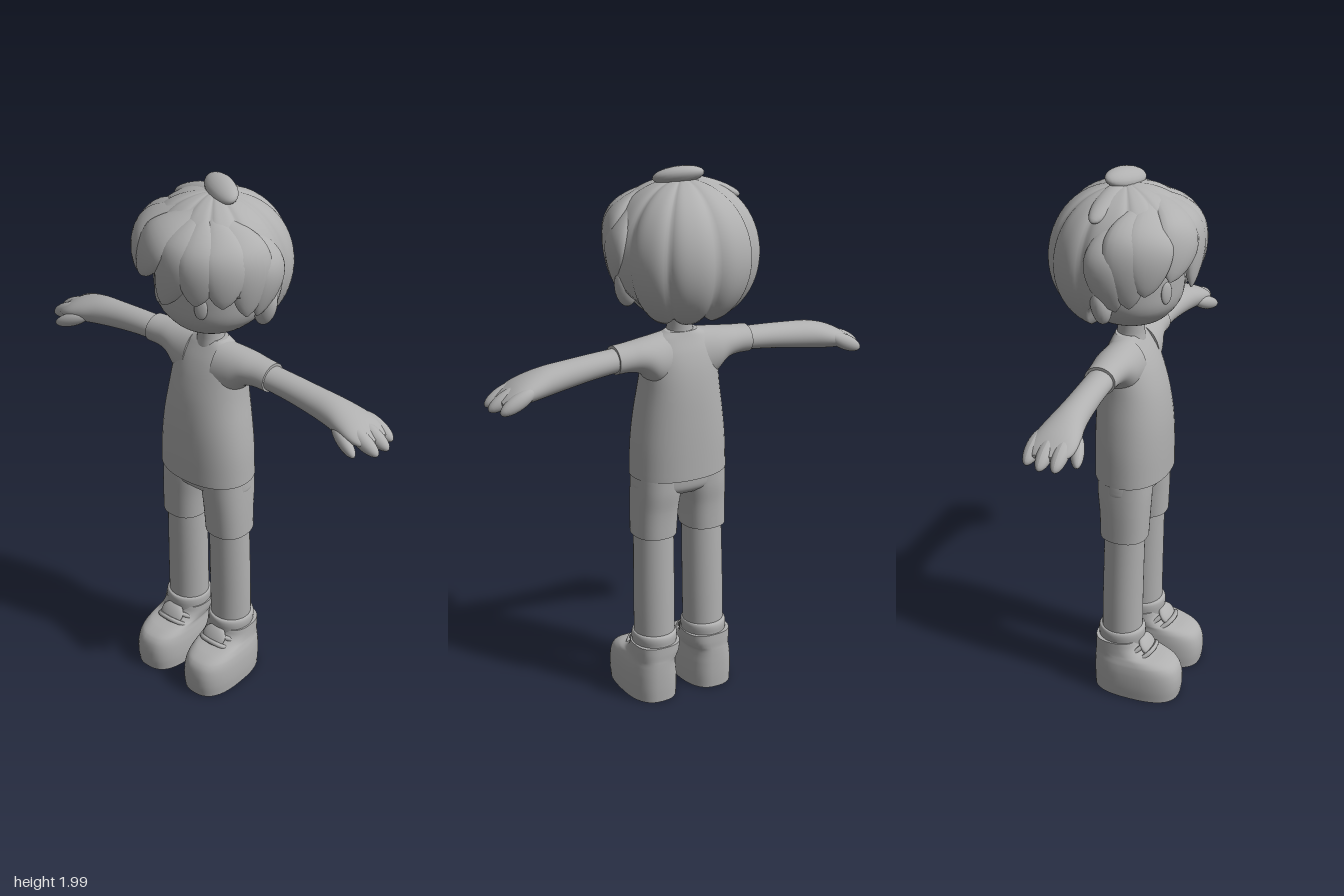
import * as THREE from 'three';
import { mergeVertices } from 'three/addons/utils/BufferGeometryUtils.js';

const clay = new THREE.MeshStandardMaterial({ color: 0xb0b0b0 });
clay.name = 'clay grey';
const { degToRad, lerp, smoothstep } = THREE.MathUtils;
const spow = (v, e) => Math.sign(v) * Math.pow(Math.abs(v), e);

// Skin a list of rings (arrays of Vector3), with flat end caps
function skin(rings, flip = false) {
  const n = rings[0].length, pos = [], idx = [];
  const tri = (a, b, c) => (flip ? idx.push(a, c, b) : idx.push(a, b, c));
  rings.forEach((r) => r.forEach((p) => pos.push(p.x, p.y, p.z)));
  for (let i = 0; i < rings.length - 1; i++)
    for (let j = 0; j < n; j++) {
      const k = (j + 1) % n, a = i * n + j, b = a + n, c = (i + 1) * n + k, d = i * n + k;
      tri(a, b, c);
      tri(a, c, d);
    }
  [rings[0], rings[rings.length - 1]].forEach((r, end) => {
    const base = pos.length / 3;
    const mid = r.reduce((s, p) => s.add(p), new THREE.Vector3()).divideScalar(n);
    [...r, mid].forEach((p) => pos.push(p.x, p.y, p.z));
    for (let j = 0; j < n; j++) {
      const k = base + ((j + 1) % n);
      end ? tri(base + n, k, base + j) : tri(base + n, base + j, k);
    }
  });
  const g = new THREE.BufferGeometry();
  g.setAttribute('position', new THREE.Float32BufferAttribute(pos, 3));
  g.setIndex(idx);
  g.computeVertexNormals();
  return g;
}

// Loft through sections [position, min1, max1, min2, max2] along the y or x axis
function loft(axis, sections, power = 2, steps = 5) {
  const seg = 40, rings = [], last = sections.length - 1;
  const at = (i, k) => sections[Math.min(last, Math.max(0, i))][k];
  for (let s = 0; s <= last * steps; s++) {
    const i = Math.min(last - 1, Math.floor(s / steps)), t = s / steps - i;
    const [p, a0, a1, b0, b1] = [0, 1, 2, 3, 4].map((k) => {
      if (k === 0) return lerp(at(i, 0), at(i + 1, 0), t);
      const v0 = at(i, k), v1 = at(i + 1, k);
      const slope = (q) => {
        const span = at(q + 1, 0) - at(q - 1, 0);
        return ((at(q + 1, k) - at(q - 1, k)) / span) * (at(i + 1, 0) - at(i, 0));
      };
      const t2 = t * t, t3 = t2 * t;
      return (2 * t3 - 3 * t2 + 1) * v0 + (t3 - 2 * t2 + t) * slope(i)
        + (3 * t2 - 2 * t3) * v1 + (t3 - t2) * slope(i + 1);
    });
    rings.push(Array.from({ length: seg }, (_, j) => {
      const th = (j / seg) * Math.PI * 2;
      const u = (a0 + a1) / 2 + ((a1 - a0) / 2) * spow(Math.cos(th), 2 / power);
      const v = (b0 + b1) / 2 + ((b1 - b0) / 2) * spow(Math.sin(th), 2 / power);
      return axis === 'y' ? new THREE.Vector3(u, p, v) : new THREE.Vector3(p, u, v);
    }));
  }
  return skin(rings, axis === 'x');
}

function mirrored(geo) {
  const g = geo.clone().scale(-1, 1, 1), a = g.index.array;
  for (let i = 0; i < a.length; i += 3) [a[i + 1], a[i + 2]] = [a[i + 2], a[i + 1]];
  g.computeVertexNormals();
  return g;
}

// Ellipsoid with its long axis running from one point to another
function blob(from, to, ra, rb = ra) {
  const a = new THREE.Vector3(...from), b = new THREE.Vector3(...to), d = b.clone().sub(a);
  const g = new THREE.SphereGeometry(1, 20, 14).scale(ra, d.length() / 2, rb);
  g.applyQuaternion(new THREE.Quaternion().setFromUnitVectors(new THREE.Vector3(0, 1, 0), d.normalize()));
  return g.translate(...a.add(b).multiplyScalar(0.5).toArray());
}

// Point on the hair volume: azimuth from the front, polar angle from the crown
const hairMid = new THREE.Vector3(0, 1.69, 0);
function hairPoint(az, polar, scale = 1) {
  const a = degToRad(az), p = degToRad(polar), r = 0.257 * Math.pow(Math.sin(p), 0.9) * scale;
  return new THREE.Vector3(spow(Math.sin(a), 0.9) * r, 1.69 + 0.255 * Math.cos(p) * scale, spow(Math.cos(a), 0.9) * r);
}

function hairCap() {
  const seg = 144, rows = 26, rings = [];
  for (let i = 1; i <= rows + 1; i++)
    rings.push(Array.from({ length: seg }, (_, j) => {
      const az = 180 - (j / seg) * 360, off = Math.abs(az);
      const wave = Math.abs(Math.sin(degToRad(az * 5 + 20 * Math.sin(degToRad(az)))));
      const edge = off < 85 ? 68 + (35 * off) / 85 : 103 + 45 * smoothstep(off, 85, 118);
      const polar = (edge - 5 * (1 - wave)) * Math.min(1, i / rows);
      const crease = 0.055 * Math.pow(1 - wave, 2) * Math.sin(degToRad(Math.min(90, polar)));
      const p = hairPoint(az, polar, 1 - crease);
      if (i > rows) p.set(p.x * 0.75, p.y + 0.005, p.z * 0.75);
      return p;
    }));
  return skin(rings.reverse());
}

// Puffy lock lying on the hair volume, through [azimuth, polar] points
function lock(points, width, thick) {
  const curve = new THREE.CatmullRomCurve3(points.map(([a, p]) => hairPoint(a, p, 0.975)));
  const rings = [];
  for (let i = 0; i <= 20; i++) {
    const t = 0.004 + 0.992 * (i / 20), c = curve.getPoint(t), T = curve.getTangent(t);
    const N = c.clone().sub(hairMid).normalize();
    const S = T.clone().cross(N).normalize();
    const k = Math.pow(Math.sin(Math.PI * Math.pow(t, 1.25)), 0.65);
    rings.push(Array.from({ length: 18 }, (_, j) => {
      const th = (j / 18) * Math.PI * 2;
      return c.clone().addScaledVector(S, Math.cos(th) * width * k).addScaledVector(N, Math.sin(th) * thick * k);
    }));
  }
  return skin(rings);
}

export function createModel() {
  const model = new THREE.Group();
  model.name = 'boy';
  const add = (name, geo) => {
    const m = new THREE.Mesh(geo, clay);
    m.name = name;
    model.add(m);
  };
  const pair = (name, geo) => {
    add(name + 'Left', geo);
    add(name + 'Right', mirrored(geo));
  };

  // Head, neck and face
  add('head', loft('y', [[1.462, -0.05, 0.05, -0.03, 0.07], [1.475, -0.1, 0.1, -0.08, 0.12],
    [1.5, -0.145, 0.145, -0.12, 0.155], [1.55, -0.19, 0.19, -0.17, 0.19], [1.62, -0.208, 0.208, -0.2, 0.2],
    [1.7, -0.208, 0.208, -0.2, 0.2], [1.8, -0.18, 0.18, -0.18, 0.18], [1.88, -0.1, 0.1, -0.1, 0.1]]));
  add('neck', loft('y', [[1.38, -0.055, 0.055, -0.035, 0.07], [1.42, -0.045, 0.045, -0.03, 0.066],
    [1.5, -0.045, 0.045, -0.03, 0.066]]));
  pair('eye', new THREE.SphereGeometry(1, 24, 12).scale(0.023, 0.04, 0.009).rotateY(0.46).translate(0.093, 1.615, 0.18));
  pair('ear', blob([0.205, 1.525, 0.005], [0.23, 1.665, -0.01], 0.04, 0.034));

  // Hair
  add('hair', mergeVertices(hairCap()));
  add('fringeCentre', lock([[12, 22], [8, 60], [-4, 107]], 0.075, 0.034));
  add('fringeSweep', lock([[30, 15], [-14, 55], [-34, 92]], 0.085, 0.036));
  add('fringeRight', lock([[-20, 22], [-50, 60], [-56, 101]], 0.085, 0.034));
  add('fringeLeft', lock([[20, 22], [26, 60], [24, 99]], 0.075, 0.034));
  add('fringeOuterLeft', lock([[36, 24], [48, 60], [46, 100]], 0.08, 0.034));
  for (const s of [-1, 1]) {
    const side = s > 0 ? 'Left' : 'Right';
    add('temple' + side, lock([[s * 48, 26], [s * 70, 62], [s * 68, 112]], 0.08, 0.034));
    add('sideburn' + side, lock([[s * 84, 40], [s * 88, 75], [s * 79, 116]], 0.065, 0.03));
  }
  add('tuft', blob([-0.06, 1.965, -0.045], [0.1, 1.945, 0.025], 0.03, 0.046));
  add('crownLock', blob([-0.2, 1.87, -0.04], [0.0, 1.945, -0.01], 0.025, 0.04));

  // Shirt
  add('shirt', loft('y', [[0.88, -0.181, 0.181, -0.097, 0.166], [1.0, -0.176, 0.176, -0.097, 0.166],
    [1.1, -0.165, 0.165, -0.095, 0.161], [1.2, -0.15, 0.15, -0.09, 0.146], [1.28, -0.142, 0.142, -0.08, 0.123],
    [1.34, -0.135, 0.135, -0.064, 0.097], [1.39, -0.1, 0.1, -0.042, 0.067], [1.412, -0.06, 0.06, -0.033, 0.052]], 2.2));
  pair('sleeve', loft('x', [[0.06, 1.2, 1.408, -0.06, 0.1], [0.12, 1.23, 1.402, -0.064, 0.09],
    [0.165, 1.275, 1.397, -0.057, 0.077], [0.21, 1.288, 1.392, -0.05, 0.068], [0.262, 1.288, 1.388, -0.047, 0.065]]));

  // Arms and hands
  pair('arm', loft('x', [[0.24, 1.297, 1.379, -0.04, 0.058], [0.35, 1.285, 1.374, -0.042, 0.056],
    [0.45, 1.27, 1.367, -0.047, 0.059], [0.52, 1.259, 1.36, -0.055, 0.067], [0.58, 1.252, 1.345, -0.067, 0.08],
    [0.63, 1.25, 1.325, -0.074, 0.085], [0.67, 1.252, 1.3, -0.068, 0.073], [0.695, 1.26, 1.28, -0.04, 0.045]]));
  const fingers = [[0.712, -0.058], [0.733, -0.005], [0.726, 0.046]];
  fingers.forEach(([x, z], i) =>
    pair('finger' + (i + 1), blob([x - 0.13, 1.308, z * 0.9], [x, 1.244, z], 0.028, 0.027)));
  pair('thumb', blob([0.55, 1.295, 0.055], [0.67, 1.242, 0.1], 0.026, 0.023));

  // Shorts
  add('shortsWaist', loft('y', [[0.81, -0.12, 0.12, -0.04, 0.1], [0.83, -0.17, 0.17, -0.062, 0.122],
    [0.86, -0.178, 0.178, -0.069, 0.129], [0.92, -0.172, 0.172, -0.07, 0.13]], 2.3));
  pair('shortsLeg', loft('y', [[0.652, 0.02, 0.181, -0.052, 0.12], [0.75, 0.013, 0.18, -0.056, 0.125],
    [0.82, 0.004, 0.178, -0.064, 0.128], [0.88, 0, 0.175, -0.066, 0.128]], 2.3));

  // Legs and socks
  pair('leg', loft('y', [[0.2, 0.028, 0.178, -0.05, 0.1], [0.4, 0.026, 0.178, -0.046, 0.102],
    [0.7, 0.026, 0.172, -0.038, 0.108]]));
  pair('sock', loft('y', [[0.19, 0.024, 0.183, -0.06, 0.108], [0.222, 0.022, 0.186, -0.061, 0.112],
    [0.243, 0.021, 0.187, -0.062, 0.113], [0.258, 0.024, 0.183, -0.058, 0.109], [0.262, 0.032, 0.175, -0.05, 0.1]]));

  // Shoes with tongue and laces
  pair('shoe', loft('y', [[0, 0.021, 0.211, -0.068, 0.256], [0.05, 0.018, 0.214, -0.07, 0.262],
    [0.1, 0.02, 0.212, -0.07, 0.258], [0.135, 0.025, 0.206, -0.069, 0.24], [0.155, 0.028, 0.199, -0.068, 0.2],
    [0.168, 0.025, 0.195, -0.067, 0.145], [0.19, 0.02, 0.193, -0.067, 0.112], [0.22, 0.018, 0.192, -0.066, 0.1]], 2.6));
  pair('tongue', blob([0.104, 0.225, 0.1], [0.104, 0.155, 0.15], 0.05, 0.016));
  [[0.198, 0.118], [0.178, 0.148]].forEach(([y, z], i) => {
    const path = new THREE.CatmullRomCurve3([[0.045, y - 0.02, z - 0.025], [0.07, y, z], [0.104, y + 0.004, z + 0.006],
      [0.14, y, z], [0.165, y - 0.02, z - 0.025]].map((p) => new THREE.Vector3(...p)));
    pair('lace' + (i + 1), new THREE.TubeGeometry(path, 16, 0.009, 8));
  });

  return model;
}
